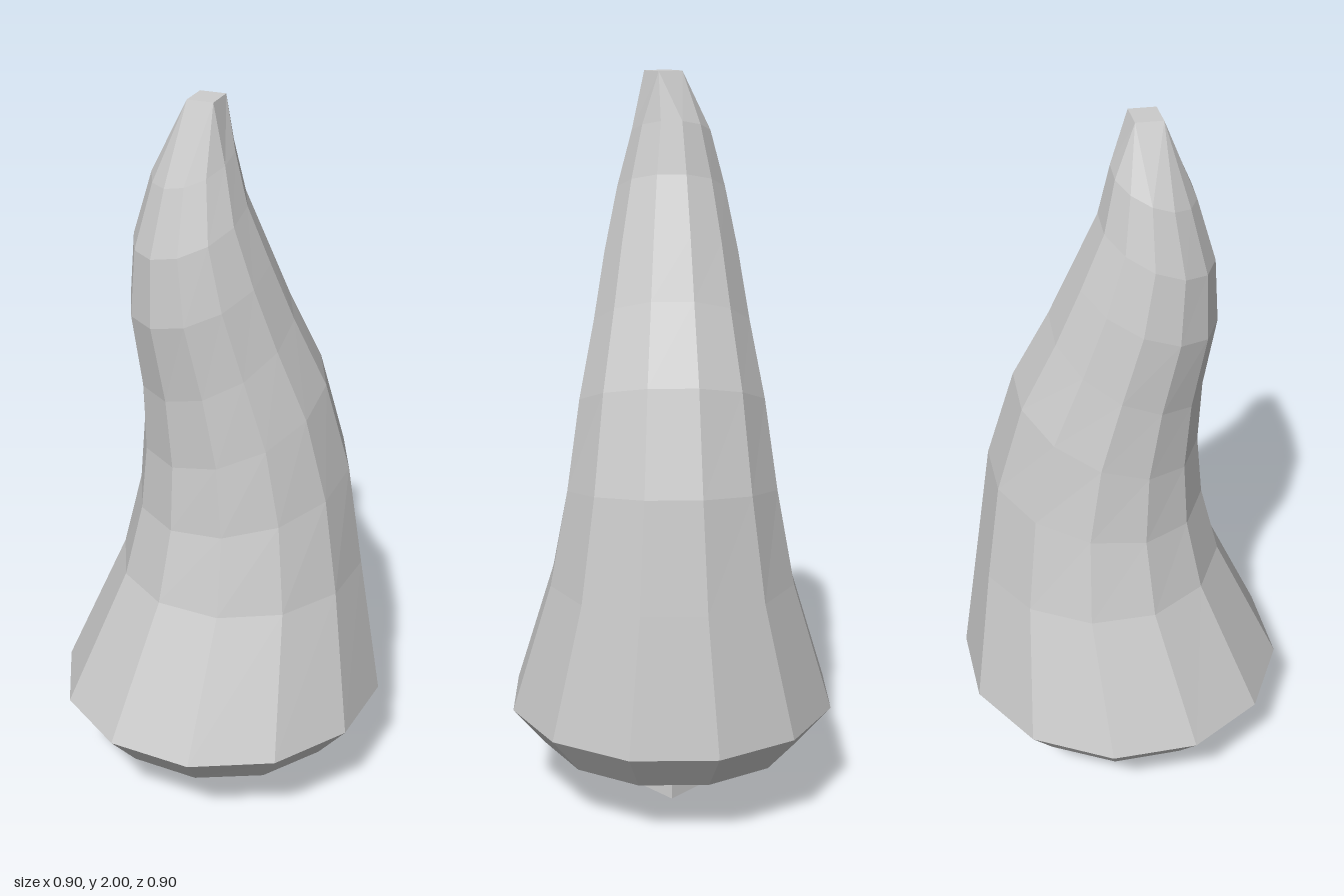
import * as THREE from 'three';

const SIDES = 12;

// Foliage rings: [outer lean side, its height, opposite side, its height, half width across]
const RINGS = [
  [0.36, 0.18, -0.36, 0.185, 0.36],
  [0.45, 0.285, -0.45, 0.3, 0.45],
  [0.27, 0.66, -0.40, 0.68, 0.335],
  [0.22, 0.86, -0.36, 0.98, 0.285],
  [0.205, 1.04, -0.28, 1.25, 0.25],
  [0.215, 1.23, -0.18, 1.45, 0.21],
  [0.25, 1.44, -0.115, 1.60, 0.18],
  [0.24, 1.62, -0.05, 1.75, 0.145],
  [0.19, 1.79, -0.02, 1.88, 0.105],
  [0.108, 1.995, 0.008, 2.0, 0.05],
];

// Point on a tilted ring; u is the lean direction (-x, +z), w runs across it
function ringPoint(r, i) {
  const [u1, y1, u0, y0, half] = RINGS[r];
  const tip = r === RINGS.length - 1;
  let deg = (i % SIDES) * 360 / SIDES;
  if (tip) deg = Math.round((deg + 31) / 90) * 90 - 31; // the tip narrows to a square
  const a = THREE.MathUtils.degToRad(deg);
  const du = (Math.sin(a) - Math.cos(a)) * Math.SQRT1_2;
  const dw = (Math.sin(a) + Math.cos(a)) * Math.SQRT1_2;
  const u = (u1 + u0) / 2 + du * (u1 - u0) / 2;
  const w = (tip ? 0.02 : 0) + dw * half;
  const y = (y1 + y0) / 2 + du * (y1 - y0) / 2;
  return new THREE.Vector3((w - u) * Math.SQRT1_2, y, (w + u) * Math.SQRT1_2);
}

function foliageGeometry() {
  const pos = [];
  const tri = (a, b, c) => {
    // skip triangles that collapse at the square tip
    if (new THREE.Triangle(a, b, c).getArea() > 1e-7) {
      for (const p of [a, b, c]) pos.push(p.x, p.y, p.z);
    }
  };
  const last = RINGS.length - 1;
  for (let r = 0; r < last; r++) {
    for (let i = 0; i < SIDES; i++) {
      const a = ringPoint(r, i), b = ringPoint(r, i + 1);
      const c = ringPoint(r + 1, i), d = ringPoint(r + 1, i + 1);
      tri(a, c, b);
      tri(b, c, d);
    }
  }
  // tip cap
  for (let i = 1; i < SIDES - 1; i++) {
    tri(ringPoint(last, 0), ringPoint(last, i + 1), ringPoint(last, i));
  }
  const g = new THREE.BufferGeometry();
  g.setAttribute('position', new THREE.Float32BufferAttribute(pos, 3));
  g.computeVertexNormals();
  return g;
}

export function createModel() {
  const group = new THREE.Group();
  group.name = 'tree';

  // Bent hollow crown, open underneath
  const foliage = new THREE.Mesh(foliageGeometry(), new THREE.MeshStandardMaterial({
    color: 0xcccccc, flatShading: true, side: THREE.DoubleSide,
  }));
  foliage.name = 'foliage';
  group.add(foliage);

  // Square trunk, flared at the foot and hidden inside the crown
  const profile = [[0, 0], [0.055, 0], [0.043, 0.18], [0.036, 0.4], [0.033, 0.55], [0, 0.55]]
    .map(([h, y]) => new THREE.Vector2(h * Math.SQRT2, y));
  const trunk = new THREE.Mesh(
    new THREE.LatheGeometry(profile, 4, Math.PI / 4),
    new THREE.MeshStandardMaterial({ color: 0xcccccc, flatShading: true, side: THREE.DoubleSide }),
  );
  trunk.name = 'trunk';
  group.add(trunk);

  return group;
}
